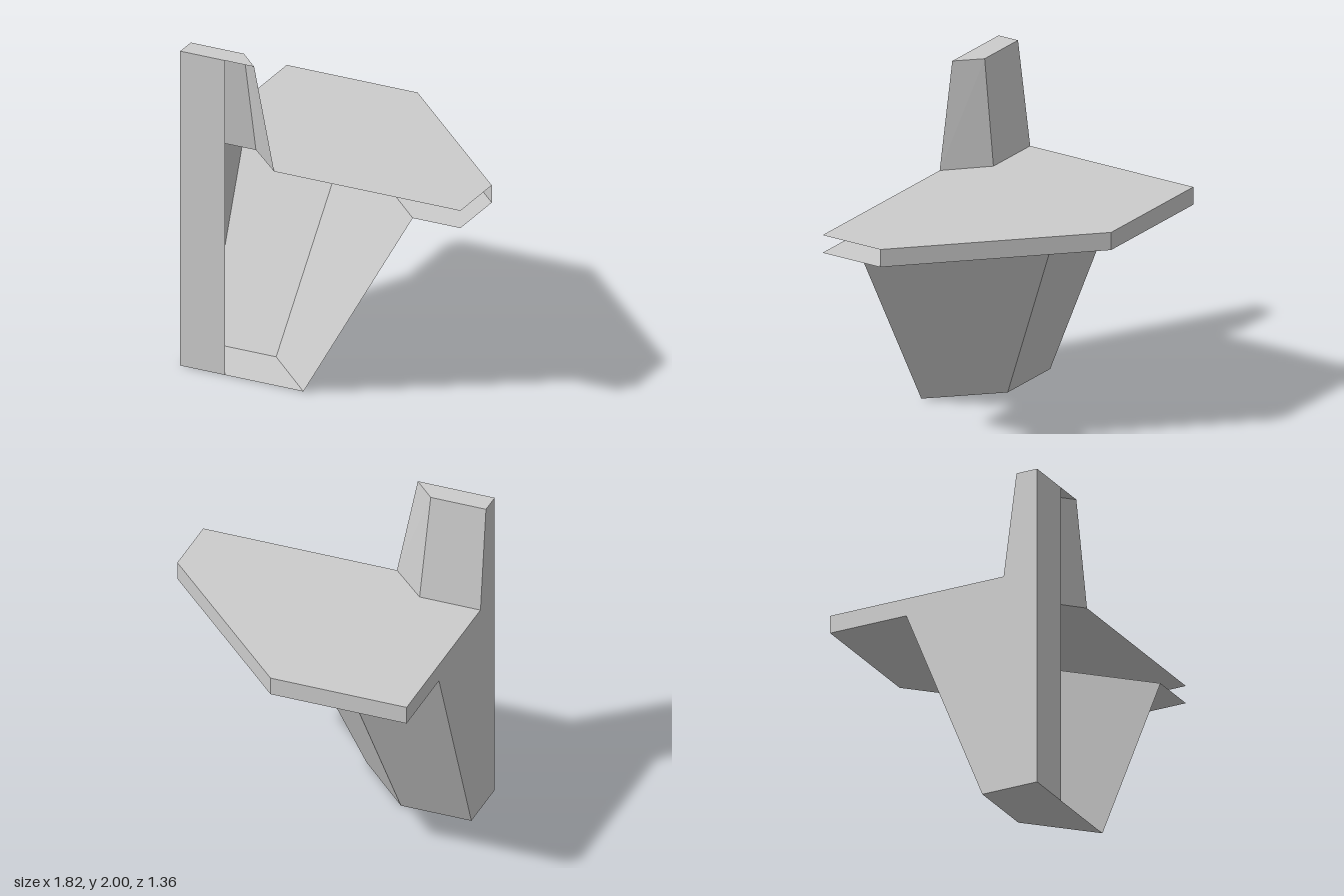
import * as THREE from 'three';

const LEFT = -0.91, FRONT = 0.68;

// Plan outlines [x, z], each running from the flat side wall round to the open front
const footOutline = [[LEFT, 0.32], [-0.47, 0.32], [-0.11, FRONT]];
const footTop = [[LEFT, -0.18], [-0.26, -0.18], [0.6, FRONT]];
const slabOutline = [[LEFT, -0.68], [-0.06, -0.68], [0.91, 0.28]];
const slabFull = [...slabOutline, [0.91, FRONT]];
const postBase = [[LEFT, 0.46], [-0.53, 0.46], [-0.3, FRONT]];
const postTop = [[LEFT, 0.545], [-0.565, 0.545], [-0.43, FRONT]];
const corner = [[LEFT, FRONT]];

// Wall strip between a lower and an upper outline
function wall(lower, y0, upper, y1) {
  const pos = [];
  for (let i = 0; i < lower.length - 1; i++) {
    const [b0, b1] = [lower[i], lower[i + 1]].map(([x, z]) => [x, y0, z]);
    const [t0, t1] = [upper[i], upper[i + 1]].map(([x, z]) => [x, y1, z]);
    pos.push(...b0, ...t0, ...b1, ...b1, ...t0, ...t1);
  }
  const g = new THREE.BufferGeometry();
  g.setAttribute('position', new THREE.Float32BufferAttribute(pos, 3));
  g.computeVertexNormals();
  return g;
}

function flat(points) {
  return new THREE.ShapeGeometry(new THREE.Shape(points.map(([a, b]) => new THREE.Vector2(a, b))));
}

// Horizontal panel between an outer and an inner outline, facing up or down
function panel(outer, inner, y, up) {
  const s = up ? -1 : 1;
  const pts = [...outer, ...[...inner].reverse()].map(([x, z]) => [x, s * z]);
  return flat(pts).rotateX(s * Math.PI / 2).translate(0, y, 0);
}

export function createModel() {
  const group = new THREE.Group();
  const grey = new THREE.MeshStandardMaterial({ color: 0xcccccc, side: THREE.DoubleSide });
  grey.name = 'light grey';
  const add = (name, geometry) => {
    const mesh = new THREE.Mesh(geometry, grey);
    mesh.name = name;
    group.add(mesh);
  };

  // Flaring pedestal
  add('pedestalWalls', wall(footOutline, 0, footTop, 1.25));
  add('pedestalBottom', panel(footOutline, corner, 0, false));

  // Hollow slab, open at the front and at its short end
  add('slabRim', wall(slabOutline, 1.25, slabOutline, 1.36));
  add('slabUnderside', panel(slabFull, footTop, 1.25, false));
  add('slabTop', panel(slabFull, postBase, 1.36, true));

  // Tapered upper post
  add('postWalls', wall(postBase, 1.36, postTop, 2));
  add('postTop', panel(postTop, corner, 2, true));

  // Flat side wall shared by all tiers, drawn as [z, y]
  const side = [[FRONT, 0], [0.32, 0], [-0.18, 1.25], [-0.68, 1.25],
    [-0.68, 1.36], [0.46, 1.36], [0.545, 2], [FRONT, 2]];
  add('sideWall', flat(side).rotateY(-Math.PI / 2).translate(LEFT, 0, 0));

  // Narrow full-height strip on the otherwise open front
  add('frontStrip', new THREE.PlaneGeometry(0.29, 2).translate(LEFT + 0.145, 1, FRONT));

  return group;
}
